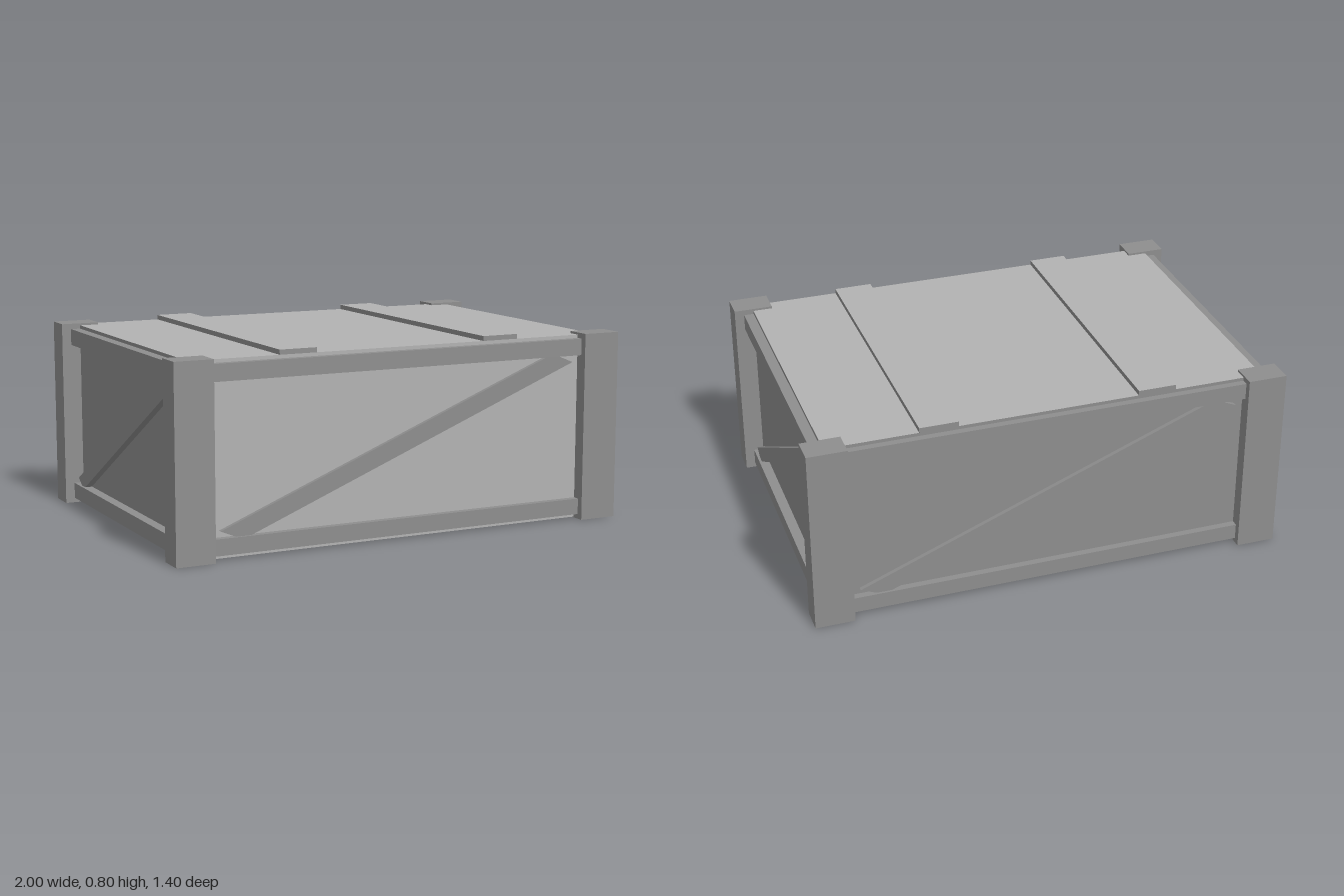
import * as THREE from 'three';

const paleWood = new THREE.MeshStandardMaterial({ color: 0xb2b2b2, side: THREE.DoubleSide });
paleWood.name = 'paleWood';
const darkWood = new THREE.MeshStandardMaterial({ color: 0x8e8e8e, side: THREE.DoubleSide });
darkWood.name = 'darkWood';

// Box given by its limits; face material order is +x, -x, +y, -y, +z, -z
function box(name, x0, x1, y0, y1, z0, z1, material = darkWood) {
  const geometry = new THREE.BoxGeometry(x1 - x0, y1 - y0, z1 - z0);
  geometry.translate((x0 + x1) / 2, (y0 + y1) / 2, (z0 + z1) / 2);
  const mesh = new THREE.Mesh(geometry, material);
  mesh.name = name;
  return mesh;
}

// Removes the bottom face, leaving the box open below
function openBottom(mesh) {
  const g = mesh.geometry;
  const index = Array.from(g.index.array);
  index.splice(18, 6);
  g.setIndex(index);
  g.clearGroups();
  for (let i = 0; i < 5; i++) g.addGroup(i * 6, 6, i < 3 ? i : i + 1);
  if (!Array.isArray(mesh.material)) g.clearGroups();
  return mesh;
}

// Slanted board with bevel-cut ends, point-symmetric about the wall's middle
function brace(name, tip, heel, depth) {
  const midY = 0.392;
  const corners = [[-tip, 0.114], [-heel, 0.074], [tip, 2 * midY - 0.114], [heel, 2 * midY - 0.074]];
  const shape = new THREE.Shape(corners.map(([x, y]) => new THREE.Vector2(x, y)));
  const mesh = new THREE.Mesh(new THREE.ExtrudeGeometry(shape, { depth, bevelEnabled: false }), darkWood);
  mesh.name = name;
  return mesh;
}

export function createModel() {
  const crate = new THREE.Group();
  crate.name = 'crate';

  const bodyX = 0.918, bodyZ = 0.643, bodyTop = 0.781;
  const postX = 0.836, postZ = 0.588;

  // Hollow body, open below, with a pale lid and front
  crate.add(openBottom(box('body', -bodyX, bodyX, 0.003, bodyTop, -bodyZ, bodyZ,
    [darkWood, darkWood, paleWood, darkWood, paleWood, darkWood])));

  // Corner posts
  for (const sx of [-1, 1]) {
    for (const sz of [-1, 1]) {
      const post = openBottom(box('cornerPost', -0.082, 0.082, 0, 0.79, -0.056, 0.056));
      post.position.set(sx * (postX + 0.082), 0, sz * (postZ + 0.056));
      crate.add(post);
    }
  }

  // Rails and braces: the back and left repeat the front and right, turned half round
  for (const half of [0, 1]) {
    const walls = new THREE.Group();
    walls.name = half ? 'backAndRightFrame' : 'frontAndLeftFrame';
    for (const [y0, y1] of [[0.02, 0.087], [0.698, 0.767]]) {
      walls.add(box('longRail', -postX, postX, y0, y1, bodyZ, 0.672));
      walls.add(box('shortRail', bodyX, 0.96, y0, y1, -postZ, postZ));
    }
    const longBrace = brace('longBrace', 0.8, 0.703, 0.018);
    longBrace.position.z = bodyZ + 0.001;
    const shortBrace = brace('shortBrace', 0.56, 0.5, 0.03);
    shortBrace.rotation.y = Math.PI / 2;
    shortBrace.position.x = bodyX + 0.001;
    walls.add(longBrace, shortBrace);
    walls.rotation.y = half * Math.PI;
    crate.add(walls);
  }

  // Lid battens, pale on top with dark edges
  for (const s of [-1, 1]) {
    const batten = box('lidBatten', -0.08, 0.08, bodyTop, 0.801, -bodyZ, bodyZ,
      [darkWood, darkWood, paleWood, darkWood, darkWood, darkWood]);
    batten.position.x = s * 0.457;
    crate.add(openBottom(batten));
  }

  return crate;
}
